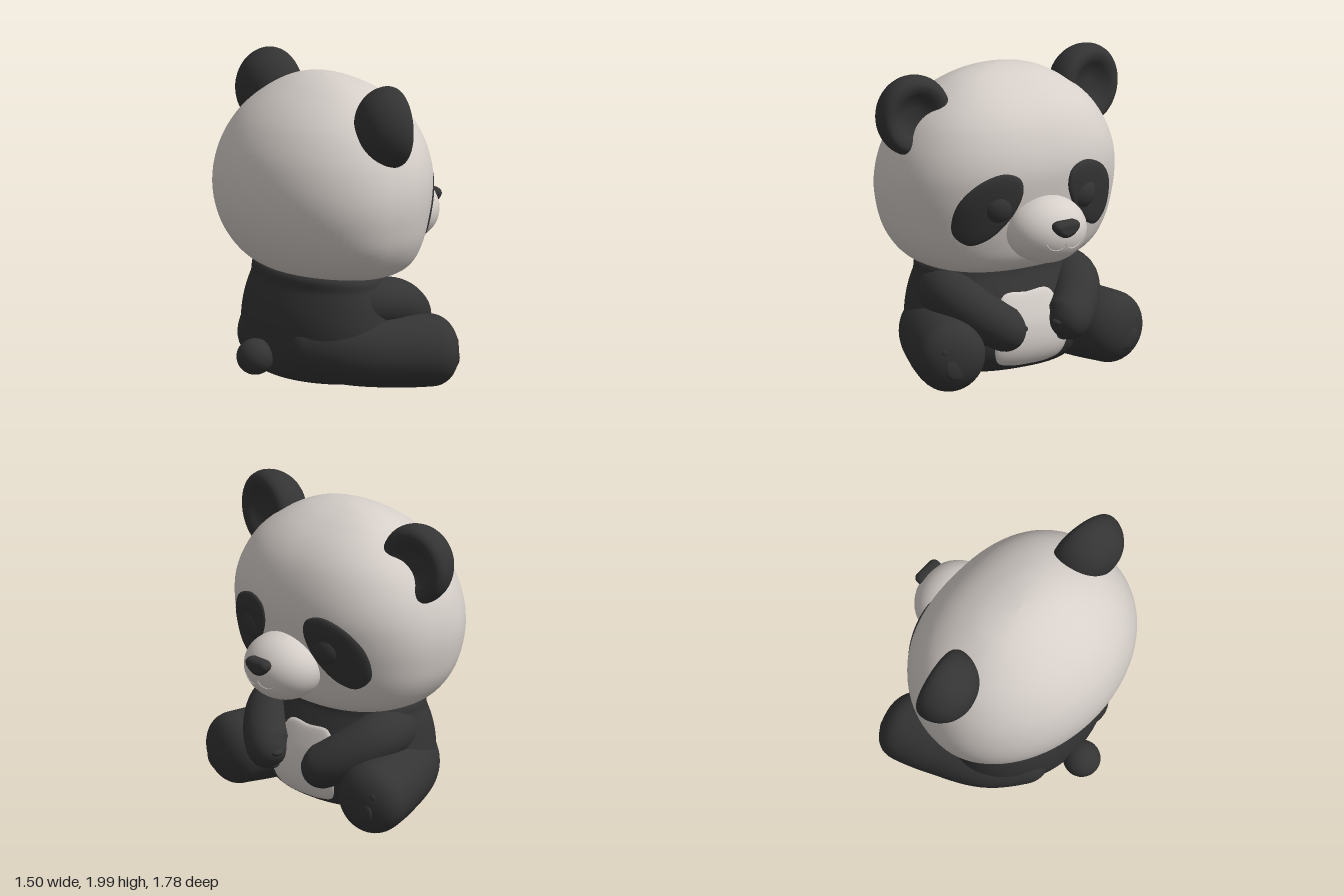
import * as THREE from 'three';

const mat = (name, color) => {
  const m = new THREE.MeshStandardMaterial({ color });
  m.name = name;
  return m;
};

// Closed rings of points joined into a smooth skin
function skin(rings) {
  const n = rings[0].length, pos = [], idx = [];
  rings.forEach(r => r.forEach(p => pos.push(p.x, p.y, p.z)));
  for (let i = 0; i < rings.length - 1; i++) {
    for (let j = 0; j < n; j++) {
      const a = i * n + j, b = i * n + (j + 1) % n;
      idx.push(a, a + n, b, b, a + n, b + n);
    }
  }
  const g = new THREE.BufferGeometry();
  g.setAttribute('position', new THREE.Float32BufferAttribute(pos, 3));
  g.setIndex(idx);
  g.computeVertexNormals();
  return g;
}

// Smooth blend through rows of numbers, t from 0 to 1
function sample(rows, t) {
  const f = t * (rows.length - 1), i = Math.min(Math.floor(f), rows.length - 2), u = f - i;
  const at = k => rows[Math.max(0, Math.min(rows.length - 1, k))];
  return rows[0].map((_, k) => {
    const a = at(i - 1)[k], b = at(i)[k], c = at(i + 1)[k], d = at(i + 2)[k];
    return b + 0.5 * u * (c - a + u * (2 * a - 5 * b + 4 * c - d + u * (3 * (b - c) + d - a)));
  });
}

// Stack of ellipses, flatter on the front half: rows are [y, back x, front x, half width]
const FLAT = 2.3;
function stack(rows, steps = 60, n = 80) {
  const rings = [];
  for (let i = 0; i <= steps; i++) {
    const [y, xb, xf, w] = sample(rows, i / steps), ring = [];
    for (let j = 0; j < n; j++) {
      const a = j / n * Math.PI * 2, c = Math.cos(a), s = Math.sin(a), e = c > 0 ? 2 / FLAT : 1;
      const bend = v => Math.sign(v) * Math.abs(v) ** e;
      ring.push(new THREE.Vector3((xb + xf) / 2 + (xf - xb) / 2 * bend(c), y, w * bend(s)));
    }
    rings.push(ring);
  }
  return skin(rings);
}

// Front surface x of a stack at a given y and z
function frontX(rows, y, z) {
  let lo = 0, hi = 1;
  for (let k = 0; k < 30; k++) {
    const m = (lo + hi) / 2;
    if (sample(rows, m)[0] < y) lo = m; else hi = m;
  }
  const [, xb, xf, w] = sample(rows, lo);
  return (xb + xf) / 2 + (xf - xb) / 2 * Math.max(0, 1 - Math.abs(z / w) ** FLAT) ** (1 / FLAT);
}

// Patch lying on a stack; outline is [z, y] points, top then toward +z
function patch(rows, outline, side, bulge) {
  let pts = new THREE.CatmullRomCurve3(outline.map(([z, y]) => new THREE.Vector3(0, y, z * side)), true)
    .getPoints(64).slice(0, 64);
  if (side < 0) pts = pts.reverse();
  const mid = pts.reduce((s, p) => s.add(p), new THREE.Vector3()).divideScalar(pts.length);
  const rings = [];
  for (let i = 0; i <= 14; i++) {
    const s = i / 14;
    rings.push(pts.map(p => {
      const q = mid.clone().lerp(p, s);
      q.x = frontX(rows, q.y, q.z) + 0.004 + bulge * Math.sqrt(1 - s ** 6);
      return q;
    }));
  }
  rings.push(pts.map(p => new THREE.Vector3(frontX(rows, p.y, p.z) - 0.02, p.y, p.z)));
  return skin(rings);
}

// Limb along a path with changing radius and rounded ends; pts are [x, y, z, radius]
function limb(pts, side, cap, power = 2) {
  const curve = new THREE.CatmullRomCurve3(pts.map(p => new THREE.Vector3(p[0], p[1], p[2] * side)));
  const L = curve.getLength(), rings = [], up = new THREE.Vector3(0, 1, 0);
  for (let i = 0; i <= 48; i++) {
    const t = (1 - Math.cos(i / 48 * Math.PI)) / 2;
    const c = curve.getPointAt(t), T = curve.getTangentAt(t);
    const N = up.clone().addScaledVector(T, -up.dot(T)).normalize();
    const B = N.clone().cross(T);
    const d = Math.min(t, 1 - t) * L, e = Math.max(0, 1 - d / cap);
    const r = sample(pts, curve.getUtoTmapping(t))[3] * Math.pow(Math.max(0, 1 - e ** power), 1 / power);
    const ring = [];
    for (let j = 0; j < 36; j++) {
      const a = j / 36 * Math.PI * 2;
      ring.push(c.clone().addScaledVector(N, r * Math.cos(a)).addScaledVector(B, r * Math.sin(a)));
    }
    rings.push(ring);
  }
  return skin(rings);
}

const HEAD = [
  [0.69, 0, 0, 0], [0.70, -0.3, 0.19, 0.34], [0.74, -0.46, 0.3, 0.53], [0.82, -0.575, 0.37, 0.655],
  [0.95, -0.67, 0.415, 0.742], [1.1, -0.73, 0.45, 0.782], [1.25, -0.75, 0.475, 0.795], [1.4, -0.735, 0.485, 0.775],
  [1.55, -0.685, 0.455, 0.72], [1.7, -0.59, 0.385, 0.62], [1.82, -0.465, 0.275, 0.48], [1.91, -0.32, 0.13, 0.32],
  [1.955, -0.2, 0.0, 0.16], [1.97, -0.1, -0.1, 0],
];
const BODY = [
  [0.035, -0.1, -0.1, 0], [0.045, -0.38, 0.16, 0.38], [0.09, -0.51, 0.27, 0.5], [0.2, -0.57, 0.33, 0.575],
  [0.35, -0.58, 0.33, 0.6], [0.5, -0.56, 0.28, 0.585], [0.65, -0.505, 0.21, 0.545], [0.76, -0.45, 0.15, 0.47],
  [0.8, -0.1, -0.1, 0],
];

export function createModel() {
  const white = mat('cream fur', 0xd6cfca), black = mat('charcoal fur', 0x343434);
  const g = new THREE.Group();
  g.name = 'sittingPanda';
  const add = (name, geo, m, x = 0, y = 0, z = 0) => {
    const o = new THREE.Mesh(geo, m);
    o.name = name;
    o.position.set(x, y, z);
    g.add(o);
    return o;
  };
  const ball = (name, m, p, r) => add(name, new THREE.SphereGeometry(1, 40, 28), m, ...p).scale.set(...r);

  add('head', stack(HEAD), white);
  add('body', stack(BODY), black);
  ball('tail', black, [-0.632, 0.21, 0], [0.118, 0.115, 0.118]);
  ball('muzzle', white, [0.475, 1.025, 0], [0.24, 0.215, 0.265]);

  // Belly patch
  add('belly', patch(BODY, [[0, 0.56], [0.17, 0.555], [0.235, 0.4], [0.27, 0.24], [0.23, 0.13], [0.13, 0.1],
    [0, 0.095], [-0.13, 0.1], [-0.23, 0.13], [-0.27, 0.24], [-0.235, 0.4], [-0.17, 0.555]], 1, 0.006), white);

  // Nose: rounded triangle
  const s = new THREE.Shape();
  s.moveTo(0, 1.04);
  s.quadraticCurveTo(0.03, 1.04, 0.06, 1.07);
  s.quadraticCurveTo(0.095, 1.105, 0.05, 1.113);
  s.lineTo(-0.05, 1.113);
  s.quadraticCurveTo(-0.095, 1.105, -0.06, 1.07);
  s.quadraticCurveTo(-0.03, 1.04, 0, 1.04);
  add('nose', new THREE.ExtrudeGeometry(s, { depth: 0.01, bevelThickness: 0.04, bevelSize: 0.034, bevelOffset: -0.014,
    bevelSegments: 8 }).rotateY(Math.PI / 2), black, 0.695);

  // Ear profile: domed back, thick rim, shallow hollow front
  const ear = [[0, -0.2], [0.09, -0.188], [0.17, -0.145], [0.225, -0.075], [0.247, 0], [0.238, 0.06], [0.205, 0.09],
    [0.16, 0.085], [0.11, 0.055], [0.06, 0.035], [0, 0.03]];
  const earCurve = new THREE.SplineCurve(ear.map(p => new THREE.Vector2(...p))).getPoints(40);
  earCurve.forEach(p => { p.x = Math.max(0, p.x); });

  for (const side of [1, -1]) {
    const label = side > 0 ? 'left' : 'right';
    add(label + 'Ear', new THREE.LatheGeometry(earCurve, 48).rotateZ(-Math.PI / 2).scale(1, 1.055, 0.99)
      .rotateY(-side * 0.17), black, -0.07, 1.74, side * 0.645);

    // Eye with its dark patch
    add(label + 'EyePatch', patch(HEAD, [[0.3, 1.42], [0.45, 1.37], [0.56, 1.25], [0.59, 1.12], [0.57, 1.02],
      [0.48, 0.95], [0.38, 0.98], [0.28, 1.07], [0.21, 1.17], [0.17, 1.29], [0.195, 1.38]], side, 0.012), black);
    ball(label + 'Eye', black, [0.385, 1.2, side * 0.305], [0.09, 0.115, 0.115]);

    // Arm resting on the belly, with finger bumps
    add(label + 'Arm', limb([[-0.34, 0.55, 0.2, 0.14], [-0.1, 0.56, 0.405, 0.165], [0.1, 0.545, 0.44, 0.162],
      [0.27, 0.455, 0.35, 0.155], [0.38, 0.37, 0.22, 0.142], [0.405, 0.335, 0.12, 0.12]], side, 0.12), black);
    for (let i = 0; i < 4; i++) {
      ball(label + 'Finger', black, [0.405 - i * 0.01, 0.375 - i * 0.035, side * (0.135 + i * 0.02)], [0.045, 0.024, 0.035]);
    }

    // Leg pointing forward, with faint sole and toe pads
    add(label + 'Leg', limb([[-0.48, 0.29, 0.12, 0.18], [-0.2, 0.275, 0.39, 0.225], [0.08, 0.255, 0.52, 0.235],
      [0.28, 0.245, 0.6, 0.23], [0.45, 0.24, 0.64, 0.225]], side, 0.16, 2.2), black);
    ball(label + 'SolePad', black, [0.425, 0.2, side * 0.63], [0.025, 0.085, 0.095]);
    for (let i = -1; i <= 1; i++) {
      ball(label + 'ToePad', black, [0.415 - i * 0.015, 0.335 - Math.abs(i) * 0.03, side * (0.625 + i * 0.085)], [0.022, 0.035, 0.032]);
    }

    // Smile line on the muzzle
    const mouth = [[0, 0.985], [0.015, 0.955], [0.06, 0.94], [0.105, 0.955], [0.13, 0.985]].map(([z, y]) =>
      new THREE.Vector3(0.475 + 0.24 * Math.sqrt(1 - ((y - 1.025) / 0.215) ** 2 - (z / 0.265) ** 2), y, z * side));
    add(label + 'Mouth', new THREE.TubeGeometry(new THREE.CatmullRomCurve3(mouth), 24, 0.004, 6), white);
  }
  return g;
}
